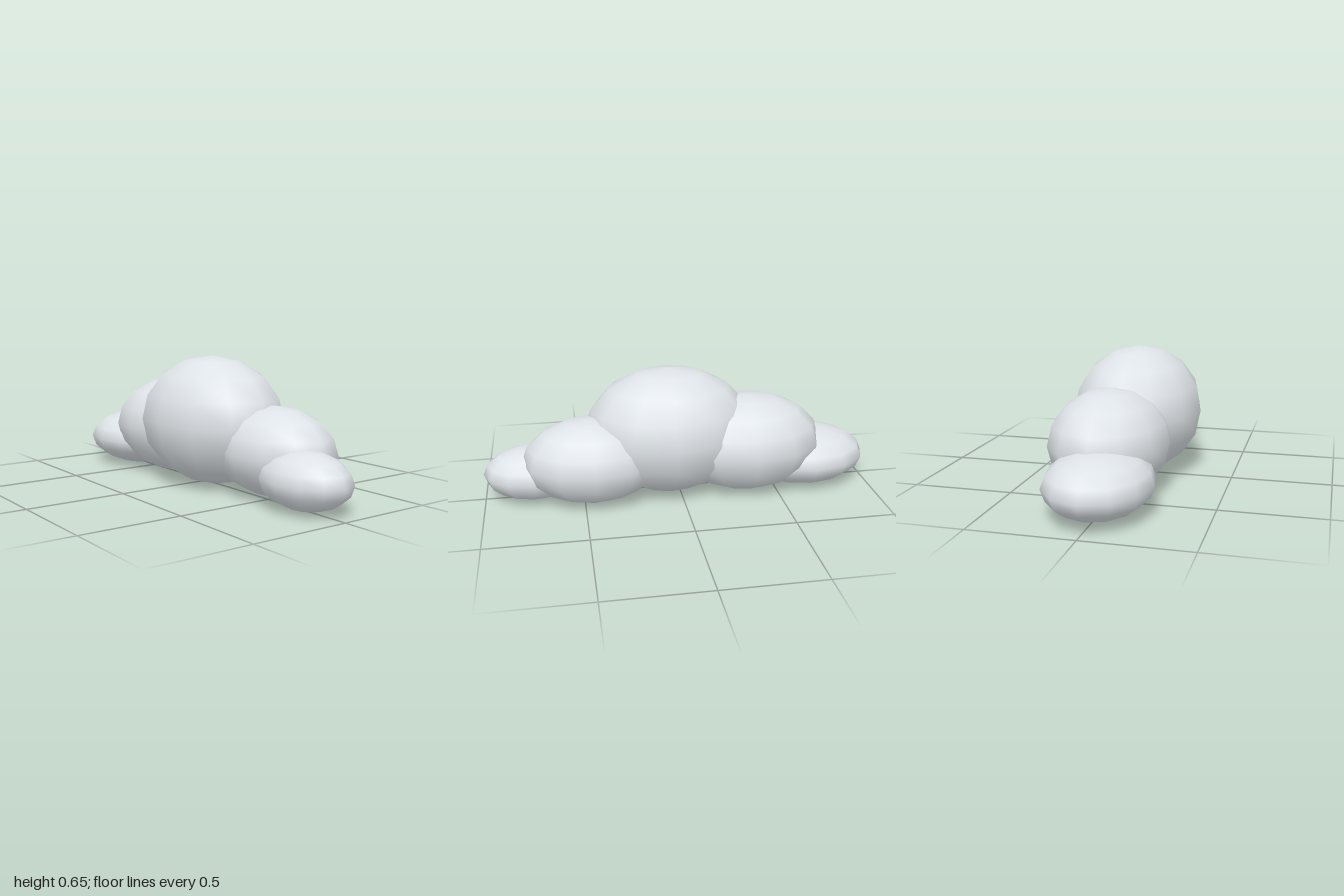
import * as THREE from 'three';

export function createModel() {
  const cloud = new THREE.Group();
  cloud.name = 'cloud';
  const mat = new THREE.MeshStandardMaterial({ color: 0xdfe4e8 });
  mat.name = 'cloud grey';

  // one low-poly smooth sphere, stretched into each puff
  const ball = new THREE.SphereGeometry(1, 12, 8);

  // name, centre, radii
  const puffs = [
    ['middlePuff', [0.05, 0.33, 0], [0.435, 0.325, 0.326]],
    ['rightPuff', [-0.35, 0.255, -0.04], [0.39, 0.252, 0.29]],
    ['leftPuff', [0.45, 0.22, -0.073], [0.354, 0.217, 0.255]],
    ['rightEndPuff', [-0.673, 0.147, 0], [0.327, 0.147, 0.252]],
    ['leftEndPuff', [0.745, 0.139, 0], [0.255, 0.136, 0.181]],
  ];
  for (const [name, centre, radii] of puffs) {
    const puff = new THREE.Mesh(ball, mat);
    puff.name = name;
    puff.position.set(...centre);
    puff.scale.set(...radii);
    cloud.add(puff);
  }
  return cloud;
}
